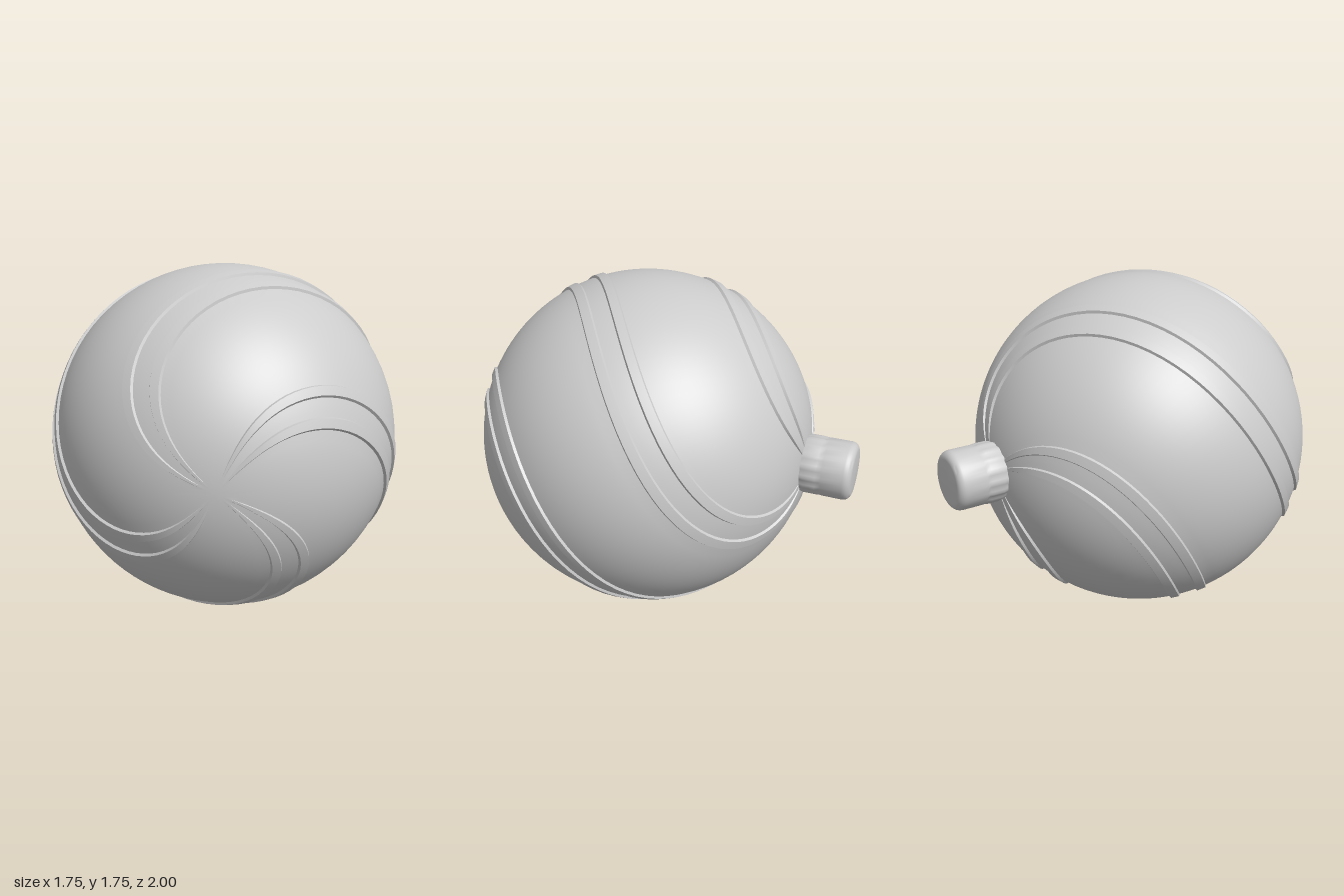
import * as THREE from 'three';
import { toCreasedNormals } from 'three/addons/utils/BufferGeometryUtils.js';

const RADIUS = 0.877, CENTER_Y = 0.887, CENTER_Z = 0.121;
const RIB_HEIGHT = 0.012, SWIRLS = 4, ROWS = 72;

// Cross-section of one quarter turn: [degrees, raised 0..1], two ribs then plain surface
function quarterProfile() {
  const points = [];
  for (const [start, end] of [[-12.5, -5.5], [5, 11.8]]) {
    points.push([start, 0], [start + 0.8, 1], [(start + end) / 2, 1], [end - 0.8, 1], [end, 0]);
    if (start < 0) points.push([-2, 0], [1.5, 0]);
  }
  for (let deg = 16; deg < 76; deg += 5) points.push([deg, 0]);
  return points;
}

// Sphere whose raised ribs run pole to pole with a half-turn twist along z
function baubleGeometry() {
  const columns = [];
  for (let s = 0; s < SWIRLS; s++) {
    for (const [deg, raised] of quarterProfile()) columns.push([deg + s * 360 / SWIRLS, raised]);
  }
  const n = columns.length, positions = [], index = [];
  for (let i = 0; i <= ROWS; i++) {
    const t = Math.PI * i / ROWS;
    const c = Math.cos(t), s = i === ROWS ? 0 : Math.sin(t);
    const fade = THREE.MathUtils.smoothstep(s, 0.06, 0.4);
    for (const [deg, raised] of columns) {
      const phi = THREE.MathUtils.degToRad(deg + 90 * (c - 0.356));
      const r = RADIUS + RIB_HEIGHT * raised * fade;
      positions.push(r * s * Math.cos(phi), r * s * Math.sin(phi), r * c);
    }
  }
  for (let i = 0; i < ROWS; i++) {
    for (let j = 0; j < n; j++) {
      const k = (j + 1) % n;
      const a = i * n + j, b = a + n, c = (i + 1) * n + k, d = i * n + k;
      if (i < ROWS - 1) index.push(a, b, c);
      if (i > 0) index.push(a, c, d);
    }
  }
  const geometry = new THREE.BufferGeometry();
  geometry.setAttribute('position', new THREE.Float32BufferAttribute(positions, 3));
  geometry.setIndex(index);
  return toCreasedNormals(geometry, 0.4);
}

// Rounded cap with a finely fluted collar; height runs along +y before it is turned
function capGeometry() {
  const profile = [[0.14, -0.04], [0.15, 0], [0.15, 0.03], [0.15, 0.06], [0.147, 0.075], [0.15, 0.09], [0.15, 0.195]];
  for (let i = 1; i <= 6; i++) {
    const a = Math.PI / 2 * i / 6;
    profile.push([0.11 + 0.04 * Math.cos(a), 0.195 + 0.04 * Math.sin(a)]);
  }
  profile.push([0, 0.235]);
  const geometry = new THREE.LatheGeometry(profile.map(([x, y]) => new THREE.Vector2(x, y)), 64);
  const p = geometry.attributes.position;
  for (let i = 0; i < p.count; i++) {
    const y = p.getY(i);
    if (y > 0.08) continue;
    const scale = 1 + 0.02 * Math.cos(16 * Math.atan2(p.getZ(i), p.getX(i)));
    p.setXYZ(i, p.getX(i) * scale, y, p.getZ(i) * scale);
  }
  return toCreasedNormals(geometry, 0.7);
}

export function createModel() {
  const group = new THREE.Group();
  group.name = 'ornament';
  const material = new THREE.MeshStandardMaterial({ color: 0xcccccc });

  const bauble = new THREE.Mesh(baubleGeometry(), material);
  bauble.name = 'swirlBauble';
  bauble.position.set(0, CENTER_Y, CENTER_Z);

  const cap = new THREE.Mesh(capGeometry(), material);
  cap.name = 'hangerCap';
  cap.rotation.x = -Math.PI / 2;
  cap.position.set(0, CENTER_Y + 0.005, -0.765);

  group.add(bauble, cap);
  return group;
}
